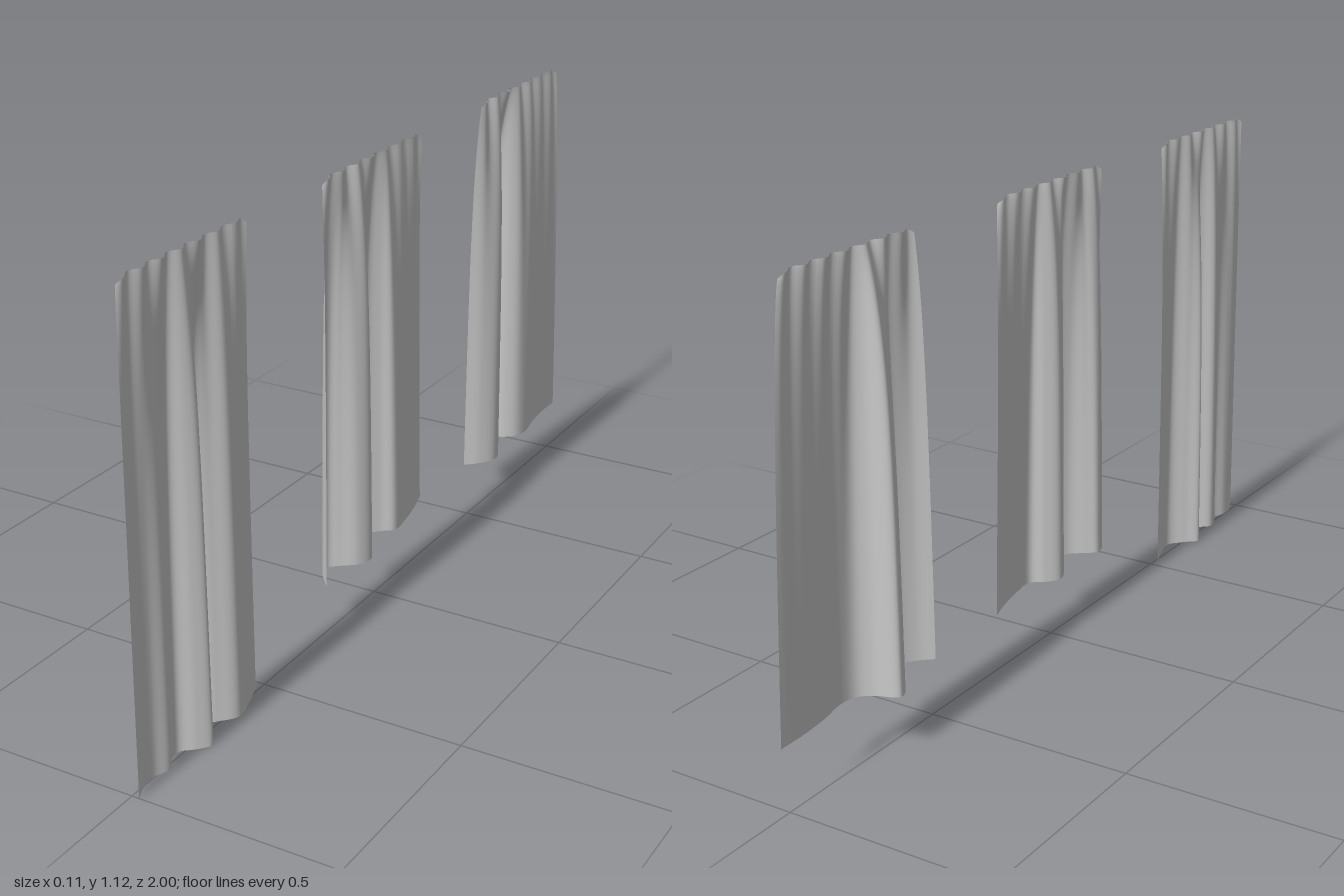
import * as THREE from 'three';

const cloth = new THREE.MeshStandardMaterial({ color: 0xcccccc, side: THREE.DoubleSide });
const TOP = 1.12, REST = 0.012; // height of the gathered edge and its depth in x

// One hanging panel: folds is the hem as [z, x] pairs, top is the z range of the upper edge.
function panel(name, hemY, top, folds) {
  const hem = new THREE.CatmullRomCurve3(folds.map(([z, x]) => new THREE.Vector3(x, 0, z)));
  const [z0, z1] = [folds[0][0], folds[folds.length - 1][0]];
  const geo = new THREE.PlaneGeometry(1, 1, 96, 32);
  const pos = geo.attributes.position;
  for (let i = 0; i < pos.count; i++) {
    const u = pos.getX(i) + 0.5;
    const t = Math.pow(0.5 - pos.getY(i), 1.5); // 0 at the top, rows closer together there
    const low = hem.getPoint(u);
    // folds open quickly below the gathered edge, then widen slowly
    const open = 0.8 * (1 - Math.exp(-5 * t)) + 0.2 * t;
    const s = (low.z - z0) / (z1 - z0);
    const topZ = THREE.MathUtils.lerp(top[0], top[1], s);
    const ripple = 0.007 * Math.sin(s * Math.PI * 14) * (1 - open);
    // slightly dropped corners at the top edge
    const drop = 0.012 * Math.pow(Math.abs(2 * s - 1), 20) * (1 - t);
    pos.setXYZ(i,
      THREE.MathUtils.lerp(REST, low.x, open) + ripple,
      THREE.MathUtils.lerp(TOP, hemY, t) - drop,
      THREE.MathUtils.lerp(topZ, low.z, Math.pow(t, 0.6)));
  }
  geo.computeVertexNormals();
  const mesh = new THREE.Mesh(geo, cloth);
  mesh.name = name;
  return mesh;
}

export function createModel() {
  const group = new THREE.Group();
  group.name = 'curtains';
  group.add(
    // long panel at the front
    panel('frontCurtain', 0, [0.98, 0.54], [
      [1, 0.018], [0.96, 0.002], [0.92, 0], [0.88, 0.012], [0.85, -0.008], [0.82, -0.01],
      [0.79, 0.02], [0.76, 0.038], [0.74, 0.01], [0.71, -0.033], [0.68, -0.005],
      [0.64, 0.025], [0.58, 0.012], [0.52, -0.01]]),
    // shorter middle panel
    panel('middleCurtain', 0.15, [0.245, -0.2], [
      [0.27, 0.028], [0.245, 0.005], [0.22, -0.014], [0.19, -0.018], [0.17, 0.002], [0.14, 0.038],
      [0.1, 0.05], [0.065, 0.025], [0.045, -0.008], [0, -0.028], [-0.035, -0.005],
      [-0.06, 0.024], [-0.12, 0.02], [-0.2, 0.004], [-0.255, -0.012]]),
    // shorter back panel
    panel('backCurtain', 0.14, [-0.51, -0.945], [
      [-0.5, -0.012], [-0.53, 0.02], [-0.57, 0.042], [-0.61, 0.034], [-0.63, -0.012],
      [-0.665, -0.05], [-0.69, -0.054], [-0.715, 0], [-0.74, 0.026], [-0.78, 0.034],
      [-0.85, 0.022], [-0.93, 0.015], [-1, 0.015]]));
  return group;
}
